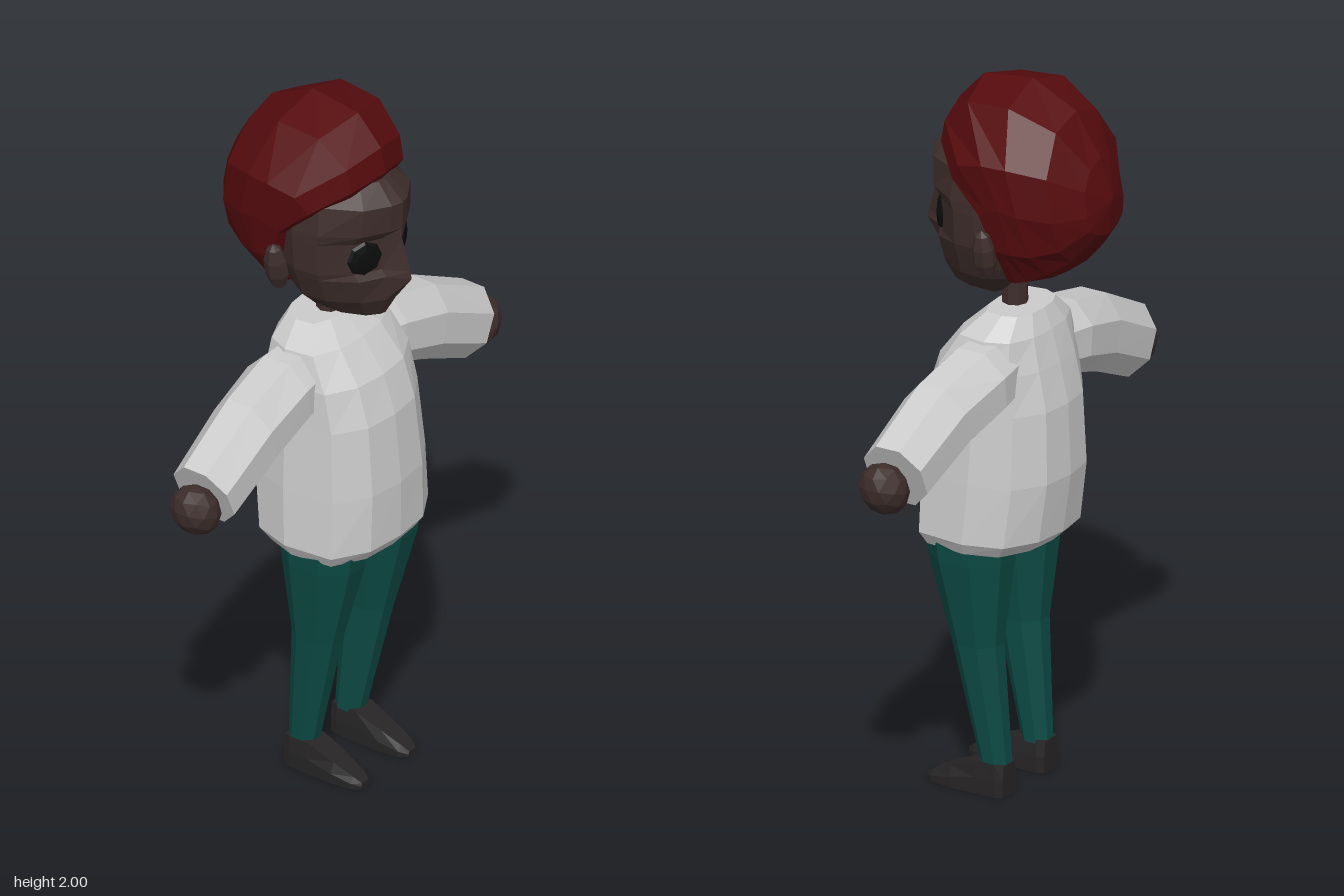
import * as THREE from 'three';

const mat = (color) => new THREE.MeshStandardMaterial({ color, flatShading: true });

// Closed skin over rings of [x, y, z] points, with fan caps at both ends
function loft(rings, endPoint) {
  const n = rings[0].length;
  const pts = rings.flat().map((p) => new THREE.Vector3(...p));
  const centre = (ring) => ring.reduce((s, p) => s.add(new THREE.Vector3(...p)), new THREE.Vector3()).divideScalar(n);
  const last = rings.length - 1;
  const a = pts.push(centre(rings[0])) - 1;
  const b = pts.push(endPoint ? new THREE.Vector3(...endPoint) : centre(rings[last])) - 1;
  const tris = [];
  for (let i = 0; i < n; i++) {
    const j = (i + 1) % n;
    for (let r = 0; r < last; r++) {
      const o = r * n, u = o + n;
      tris.push([o + i, o + j, u + j], [o + i, u + j, u + i]);
    }
    tris.push([a, j, i], [b, last * n + i, last * n + j]);
  }
  // Make the skin face outward
  const volume = tris.reduce((s, [p, q, r]) => s + pts[p].dot(pts[q].clone().cross(pts[r])), 0);
  if (volume < 0) tris.forEach((t) => t.reverse());
  const g = new THREE.BufferGeometry().setFromPoints(tris.flat().map((i) => pts[i]));
  g.computeVertexNormals();
  return g;
}

// Full ring from a half ring whose first and last points lie on x = 0
const mirrorRing = (half) => [...half, ...half.slice(1, -1).reverse().map(([x, y, z]) => [-x, y, z])];

// Horizontal or tilted n-sided oval
const oval = (n, fn) => Array.from({ length: n }, (_, i) => {
  const t = ((i + 0.5) / n) * Math.PI * 2;
  return fn(Math.cos(t) / Math.cos(Math.PI / n), Math.sin(t) / Math.cos(Math.PI / n));
});

export function createModel() {
  const model = new THREE.Group();
  const skin = mat(0x3d2d2b), hairMat = mat(0x560b0e), knit = mat(0xcccccc);
  const cloth = mat(0x0d4a44), leather = mat(0x262424), dark = mat(0x0b0d0c);
  const add = (name, geometry, material, parent = model) => {
    const m = new THREE.Mesh(geometry, material);
    m.name = name;
    parent.add(m);
    return m;
  };

  // Sweater body: [y, half width, front z, back z]
  const body = [
    [0.675, 0.15, 0.17, -0.05], [0.7, 0.205, 0.225, -0.1], [0.735, 0.225, 0.25, -0.135],
    [0.9, 0.215, 0.252, -0.158], [1.1, 0.2, 0.232, -0.15], [1.21, 0.195, 0.195, -0.125],
    [1.3, 0.175, 0.125, -0.1], [1.355, 0.11, 0.065, -0.075],
  ].map(([y, w, f, b]) => {
    const d = f - b;
    return mirrorRing([[0, y, f], [w * 0.5, y, f - d * 0.03], [w * 0.93, y, f - d * 0.18], [w, y, f - d * 0.55],
      [w * 0.85, y, b + d * 0.17], [w * 0.45, y, b + d * 0.03], [0, y, b]]);
  });
  add('sweaterBody', loft(body), knit);

  // Neck
  add('neck', new THREE.CylinderGeometry(0.034, 0.036, 0.14, 8), skin).position.set(0, 1.39, 0.015);

  // Head: [y, half width, nose line z, beside nose z, eye z, cheek z, back z]
  const head = [
    [1.402, 0.075, 0.2, 0.195, 0.17, 0.11, 0.03], [1.46, 0.135, 0.233, 0.222, 0.18, 0.1, -0.04],
    [1.535, 0.165, 0.287, 0.228, 0.19, 0.1, -0.1], [1.555, 0.172, 0.283, 0.214, 0.175, 0.1, -0.1],
    [1.65, 0.18, 0.255, 0.214, 0.175, 0.1, -0.12], [1.68, 0.18, 0.255, 0.242, 0.2, 0.11, -0.13],
    [1.76, 0.168, 0.258, 0.248, 0.205, 0.1, -0.13], [1.81, 0.11, 0.2, 0.195, 0.165, 0.08, -0.1],
  ].map(([y, w, n, s, e, c, b]) => mirrorRing([[0, y, n], [w * 0.2, y, s], [w * 0.6, y, e], [w * 0.95, y, c],
    [w, y, 0.03], [w * 0.75, y, b * 0.7], [0, y, b]]));
  add('head', loft(head), skin);

  // Hair: half rings running from the hairline to the back of the head
  const hair = [
    [[0, 1.81, 0.19], [0.1, 1.79, 0.165], [0.16, 1.73, 0.085], [0.186, 1.66, 0.0], [0.17, 1.56, -0.03], [0.12, 1.47, -0.035], [0, 1.43, -0.05]],
    [[0, 1.83, 0.2], [0.11, 1.81, 0.175], [0.19, 1.75, 0.09], [0.203, 1.67, 0.0], [0.185, 1.57, -0.035], [0.125, 1.465, -0.045], [0, 1.43, -0.06]],
    [[0, 1.9, 0.185], [0.115, 1.875, 0.16], [0.21, 1.8, 0.06], [0.21, 1.69, -0.03], [0.187, 1.57, -0.06], [0.125, 1.465, -0.065], [0, 1.435, -0.075]],
    [[0, 1.98, 0.11], [0.13, 1.95, 0.08], [0.222, 1.82, -0.02], [0.215, 1.7, -0.07], [0.188, 1.57, -0.09], [0.12, 1.475, -0.1], [0, 1.445, -0.1]],
    [[0, 2.0, -0.04], [0.135, 1.96, -0.05], [0.215, 1.82, -0.09], [0.208, 1.69, -0.12], [0.175, 1.57, -0.14], [0.11, 1.5, -0.15], [0, 1.475, -0.15]],
    [[0, 1.935, -0.175], [0.1, 1.905, -0.175], [0.17, 1.8, -0.19], [0.17, 1.68, -0.205], [0.14, 1.59, -0.21], [0.08, 1.54, -0.21], [0, 1.52, -0.21]],
    [[0, 1.82, -0.25], [0.05, 1.8, -0.25], [0.085, 1.75, -0.255], [0.09, 1.68, -0.265], [0.08, 1.64, -0.268], [0.05, 1.62, -0.272], [0, 1.61, -0.278]],
  ].map(mirrorRing);
  add('hair', loft(hair, [0, 1.71, -0.288]), hairMat);

  // Hips between the legs
  add('hips', new THREE.BoxGeometry(0.14, 0.1, 0.16), cloth).position.set(0, 0.71, 0.08);

  for (const side of [1, -1]) {
    const s = side > 0 ? 'left' : 'right';

    // Eye and ear
    const eye = add(s + 'Eye', new THREE.SphereGeometry(0.051, 8, 6).rotateX(Math.PI / 2), dark);
    eye.scale.set(1, 1, 0.25);
    eye.rotation.y = side * 0.47;
    eye.position.set(side * 0.08, 1.602, 0.192);
    const ear = add(s + 'Ear', new THREE.SphereGeometry(1, 7, 5), skin);
    ear.scale.set(0.032, 0.075, 0.034);
    ear.rotation.z = side * -0.2;
    ear.position.set(side * 0.193, 1.558, -0.012);

    // Sleeve: [x, y, z, half height, half depth, tilt]
    const sleeve = [
      [0.12, 1.2, 0.01, 0.095, 0.09, 0], [0.21, 1.19, 0.01, 0.1, 0.1, 0.1],
      [0.37, 1.143, 0.022, 0.106, 0.095, 0.24], [0.56, 1.05, 0.03, 0.098, 0.088, 0.42],
    ].map(([x, y, z, h, d, t]) => oval(8, (c, k) =>
      [side * (x + Math.sin(t) * h * c), y + Math.cos(t) * h * c, z + d * k]));
    add(s + 'Sleeve', loft(sleeve), knit);

    // Hand
    const hand = add(s + 'Hand', new THREE.IcosahedronGeometry(1, 1), skin);
    hand.scale.set(0.062, 0.076, 0.07);
    hand.rotation.z = side * -0.42;
    hand.position.set(side * 0.605, 1.028, 0.037);

    // Trouser leg: [y, x, z, half width, half depth]
    const leg = [
      [0.73, 0.112, 0.083, 0.092, 0.12], [0.66, 0.112, 0.08, 0.086, 0.113],
      [0.42, 0.11, 0.06, 0.055, 0.068], [0.08, 0.1, 0.009, 0.036, 0.04],
    ].map(([y, x, z, w, d]) => oval(8, (c, k) => [side * (x + w * c), y, z + d * k]));
    add(s + 'Leg', loft(leg), cloth);

    // Shoe: [z, height, sole half width, top half width]
    const shoe = [
      [-0.032, 0.088, 0.034, 0.028], [-0.01, 0.09, 0.041, 0.037], [0.05, 0.09, 0.042, 0.036],
      [0.13, 0.058, 0.043, 0.03], [0.19, 0.032, 0.034, 0.022], [0.212, 0.016, 0.018, 0.014],
    ].map(([z, h, a, b]) => [[-a, 0], [a, 0], [a, h * 0.5], [b, h], [-b, h], [-a, h * 0.5]]
      .map(([x, y]) => [side * (0.102 + x), y, z]));
    add(s + 'Shoe', loft(shoe), leather);
  }
  return model;
}
